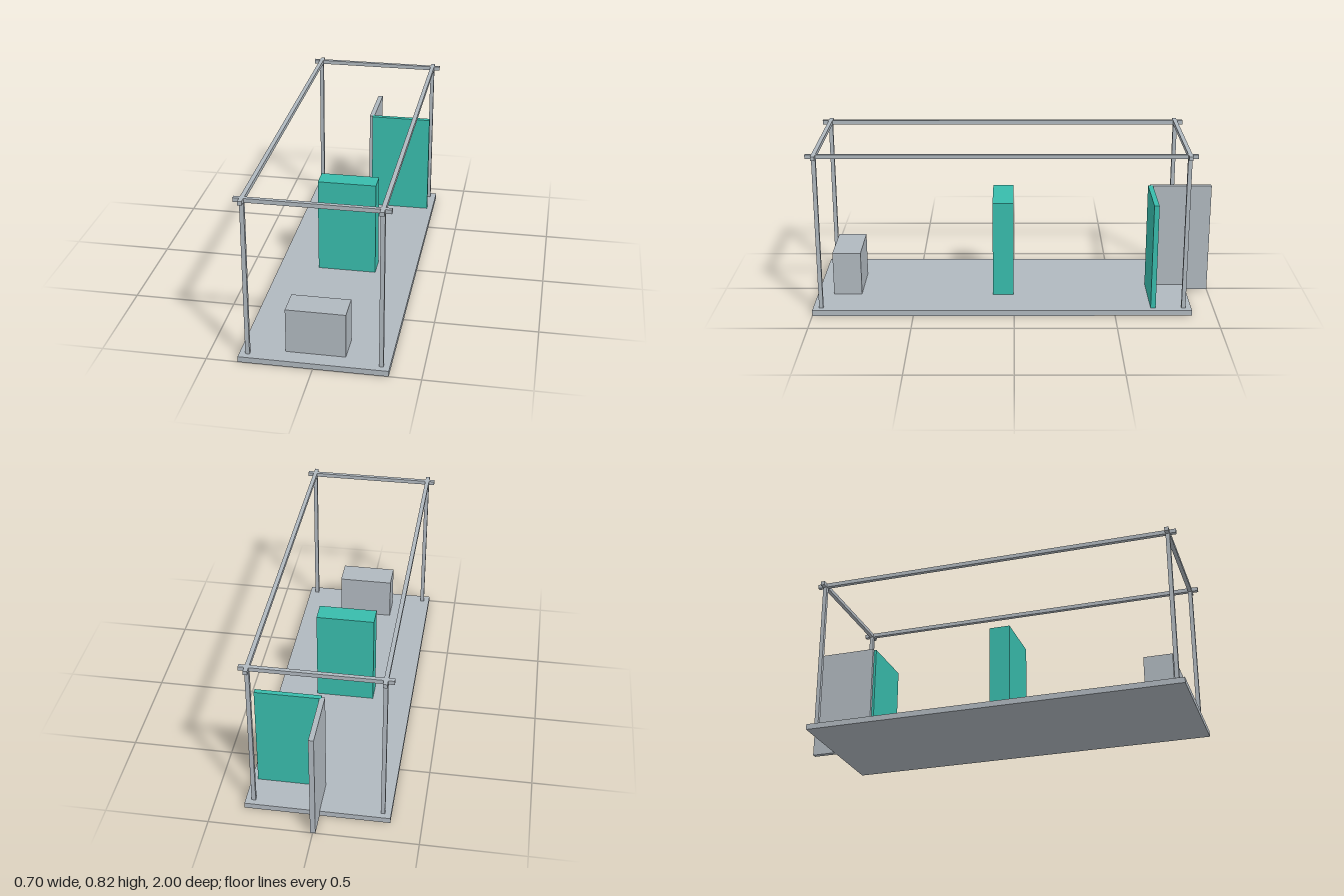
import * as THREE from 'three';

export function createModel() {
  const root = new THREE.Group();
  root.name = 'boothFrame';

  const grey = new THREE.MeshStandardMaterial({ color: 0xb0b8bf });
  grey.name = 'pale grey';
  const teal = new THREE.MeshStandardMaterial({ color: 0x38bcac });
  teal.name = 'teal';

  // Box given by its min and max extents on each axis
  function box(name, material, [x0, x1], [y0, y1], [z0, z1]) {
    const mesh = new THREE.Mesh(new THREE.BoxGeometry(x1 - x0, y1 - y0, z1 - z0), material);
    mesh.position.set((x0 + x1) / 2, (y0 + y1) / 2, (z0 + z1) / 2);
    mesh.name = name;
    root.add(mesh);
  }

  const floorTop = 0.028, frameTop = 0.822, bar = 0.02;
  const spanX = [-0.35, 0.35], spanZ = [-0.88, 1];
  const postX = [-0.311, 0.311], postZ = [-0.841, 0.959];
  const around = (c) => [c - bar / 2, c + bar / 2];

  // Floor slab
  box('floor', grey, spanX, [0, floorTop], spanZ);

  // Corner posts
  for (const x of postX) {
    for (const z of postZ) box('post', grey, around(x), [floorTop, frameTop], around(z));
  }

  // Top rails, crossing at the corners and overhanging to the floor outline
  const railY = [frameTop - bar, frameTop];
  for (const x of postX) box('sideRail', grey, around(x), railY, spanZ);
  for (const z of postZ) box('crossRail', grey, spanX, railY, around(z));

  // Furniture standing on the floor
  box('frontCounter', grey, [-0.142, 0.14], [floorTop, 0.25], [0.776, 0.918]);
  box('cabinet', teal, [-0.148, 0.147], [floorTop, 0.518], [0.003, 0.108]);

  // Rear screen and the open door leaf that reaches past the floor edge
  box('rearScreen', teal, [0.004, 0.32], [floorTop, 0.565], [-0.703, -0.678]);
  box('doorLeaf', grey, [-0.013, 0.012], [0, 0.5645], [-1, -0.69]);

  return root;
}
